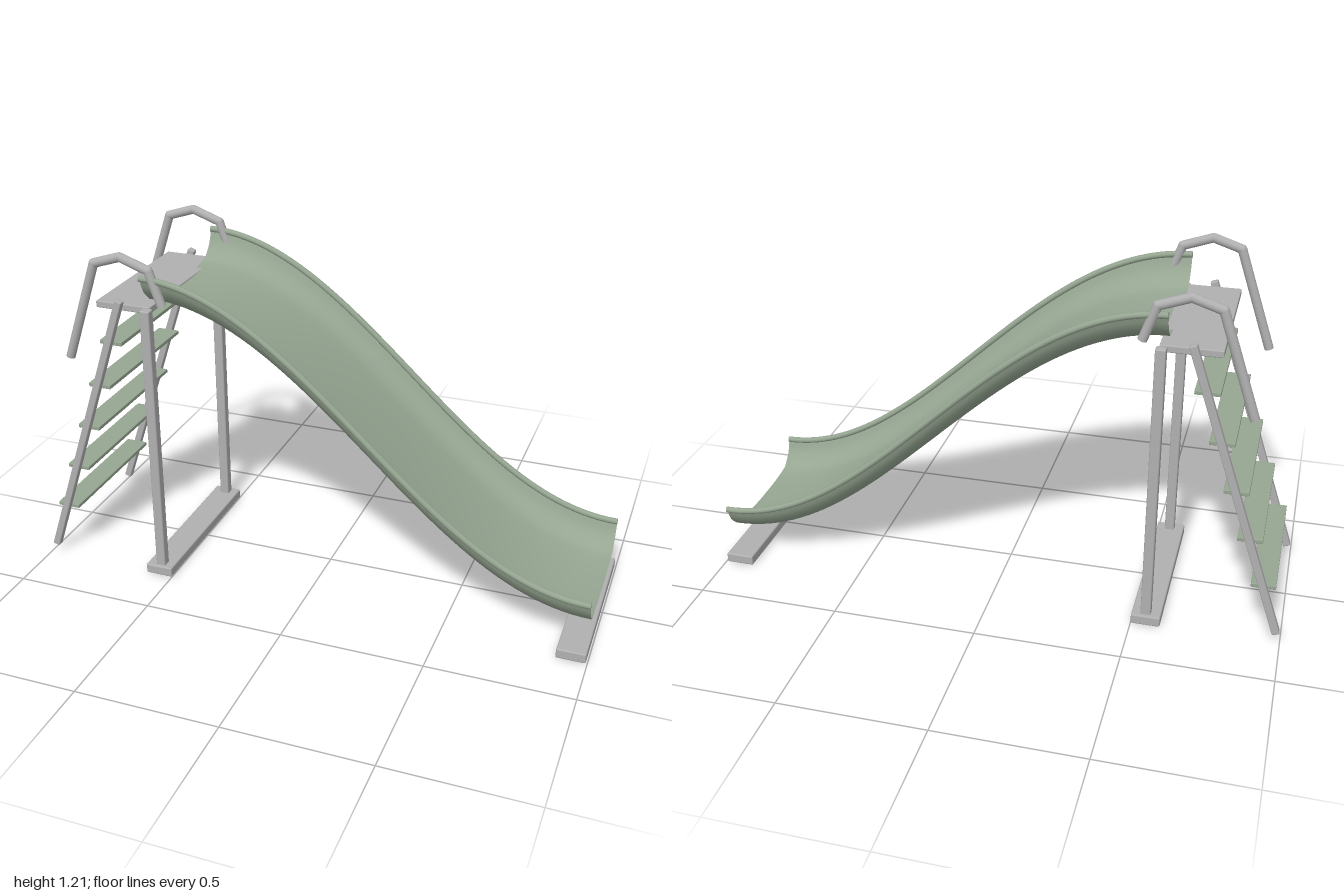
import * as THREE from 'three';
import { RoundedBoxGeometry } from 'three/addons/geometries/RoundedBoxGeometry.js';

export function createModel() {
  const model = new THREE.Group();
  model.name = 'playgroundSlide';
  const metal = new THREE.MeshStandardMaterial({ color: 0xb0b0b0 });
  metal.name = 'grey metal';
  const green = new THREE.MeshStandardMaterial({ color: 0x96a692, side: THREE.DoubleSide });
  green.name = 'sage green';

  const add = (name, geometry, material, x = 0, y = 0, z = 0) => {
    const mesh = new THREE.Mesh(geometry, material);
    mesh.name = name;
    mesh.position.set(x, y, z);
    model.add(mesh);
    return mesh;
  };
  const box = (name, w, h, d, x, y, z, material = metal) =>
    add(name, new RoundedBoxGeometry(w, h, d, 2, Math.min(w, h, d) * 0.15), material, x, y, z);

  // Chute: a trough section swept down a cosine slope
  const X0 = -0.565, X1 = 0.99;
  const slope = (t) => 0.1 + 0.46 * (1 + Math.cos(Math.PI * t));
  const half = [[0, 0], [0.07, 0.001], [0.13, 0.004], [0.18, 0.009], [0.217, 0.015], [0.24, 0.035],
    [0.258, 0.055], [0.27, 0.078], [0.28, 0.11]];
  const section = [...half.slice(1).reverse().map(([z, h]) => [-z, h]), ...half];
  const chute = new THREE.PlaneGeometry(1, 1, 48, section.length - 1);
  const pos = chute.attributes.position;
  for (let i = 0; i < pos.count; i++) {
    const t = (i % 49) / 48;
    const [z, h] = section[Math.floor(i / 49)];
    pos.setXYZ(i, X0 + (X1 - X0) * t, slope(t) + h, z);
  }
  chute.computeVertexNormals();
  add('chute', chute, green);

  // Rolled rims along both chute edges, with closed ends
  for (const side of [-1, 1]) {
    const points = Array.from({ length: 33 }, (_, i) =>
      new THREE.Vector3(X0 + (X1 - X0) * i / 32, slope(i / 32) + 0.108, side * 0.28));
    add('chuteRim', new THREE.TubeGeometry(new THREE.CatmullRomCurve3(points), 64, 0.011, 10), green);
    for (const p of [points[0], points[32]]) {
      const cap = add('chuteRimCap', new THREE.CircleGeometry(0.011, 10), green, p.x, p.y, p.z);
      cap.rotation.y = Math.PI / 2;
    }
  }

  // Platform and ground beams
  box('platform', 0.2, 0.024, 0.54, -0.64, 1.013, 0);
  box('rearGroundBeam', 0.1, 0.036, 0.62, -0.55, 0.02, 0);
  box('frontGroundBeam', 0.1, 0.036, 0.62, 0.945, 0.02, 0);

  // Straight piece between two points in a side plane
  const between = (mesh, a, b) => {
    mesh.position.set((a[0] + b[0]) / 2, (a[1] + b[1]) / 2, mesh.position.z);
    mesh.rotation.z = Math.atan2(a[0] - b[0], b[1] - a[1]);
  };
  const foot = [-0.985, 0.03], head = [-0.645, 1.04];
  const handrail = [[-0.85, 0.81], [-0.73, 1.162], [-0.632, 1.194], [-0.53, 1.158], [-0.488, 1.04]];

  for (const side of [-1, 1]) {
    const z = side * 0.28;
    box('supportPost', 0.035, 0.99, 0.034, -0.548, 0.525, z);
    // Leaning ladder rails
    const length = Math.hypot(head[0] - foot[0], head[1] - foot[1]);
    between(box('ladderRail', 0.026, length, 0.026, 0, 0, z), foot, head);
    // Bent handrails
    for (let i = 0; i < handrail.length - 1; i++) {
      const a = handrail[i], b = handrail[i + 1];
      const l = Math.hypot(b[0] - a[0], b[1] - a[1]);
      between(add('handrail', new THREE.CylinderGeometry(0.016, 0.016, l, 14), metal, 0, 0, z), a, b);
      if (i > 0) add('handrailBend', new THREE.SphereGeometry(0.016, 14, 10), metal, a[0], a[1], z);
    }
  }

  // Ladder treads
  for (let i = 0; i < 5; i++) {
    box('tread', 0.083, 0.014, 0.535, -0.928 + i * 0.0575, 0.197 + i * 0.1695, 0, green);
  }
  return model;
}
